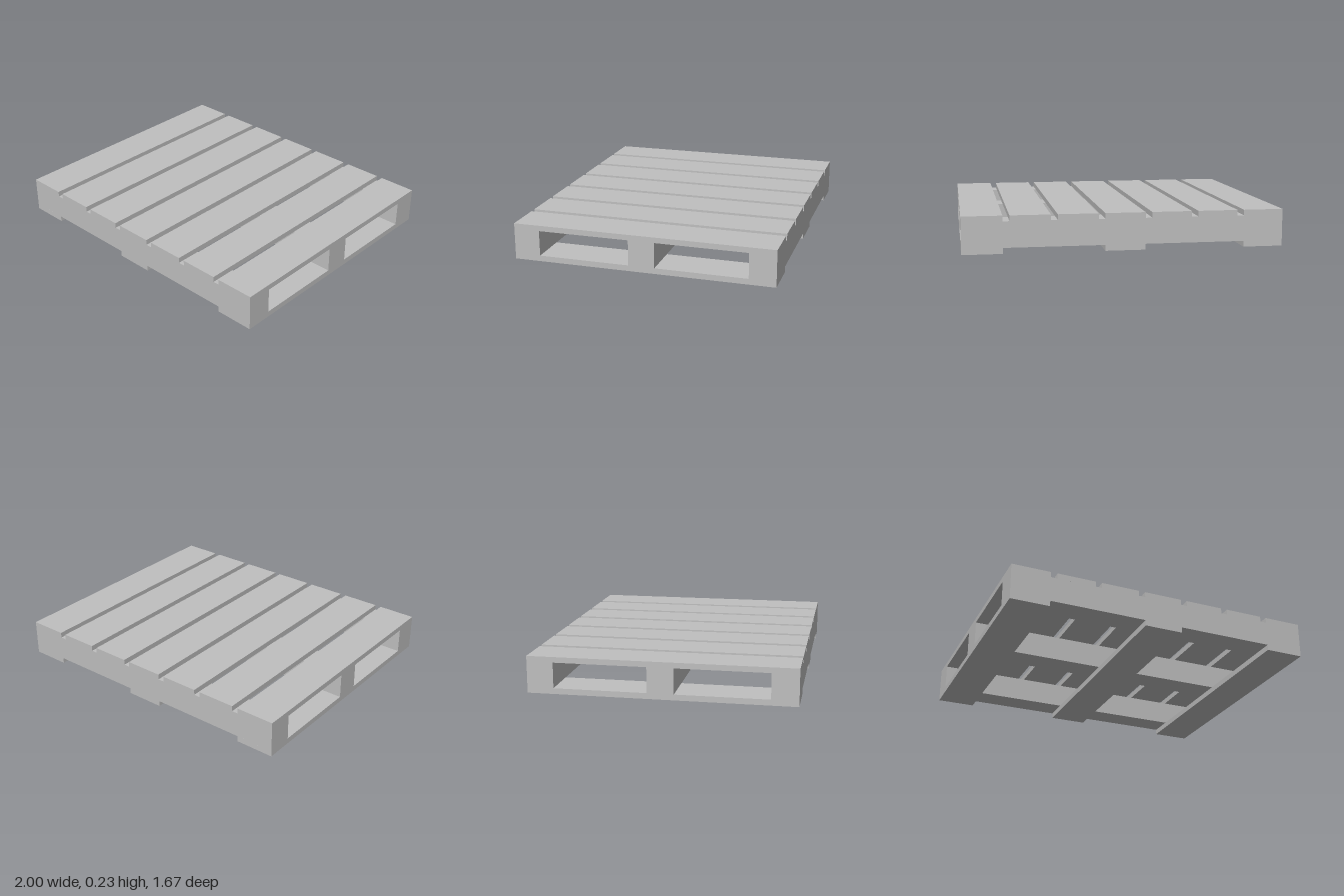
import * as THREE from 'three';

export function createModel() {
  const group = new THREE.Group();
  group.name = 'pallet';
  const wood = new THREE.MeshStandardMaterial({ color: 0xbfbfbf });
  wood.name = 'plain grey';

  const depth = 1.6667, boardWidth = 0.25;
  const bottomTop = 0.0365, deckBottom = 0.1985, deckTop = 0.2335;

  // A board spanning y0 to y1
  function board(name, width, y0, y1, length, x, z) {
    const mesh = new THREE.Mesh(new THREE.BoxGeometry(width, y1 - y0, length), wood);
    mesh.name = name;
    mesh.position.set(x, (y0 + y1) / 2, z);
    group.add(mesh);
  }

  // Seven deck boards running front to back
  for (let i = 0; i < 7; i++) {
    board('deckBoard' + (i + 1), boardWidth, deckBottom, deckTop, depth, -0.875 + (i * 1.75) / 6, 0);
  }

  // Three full-width stringers and three bottom boards
  for (const side of [-1, 0, 1]) {
    const label = side + 2;
    board('stringer' + label, 2, bottomTop, deckBottom, depth / 10, 0, side * 0.75);
    board('bottomBoard' + label, boardWidth, 0, bottomTop, depth, side * 0.875, 0);
  }

  return group;
}
